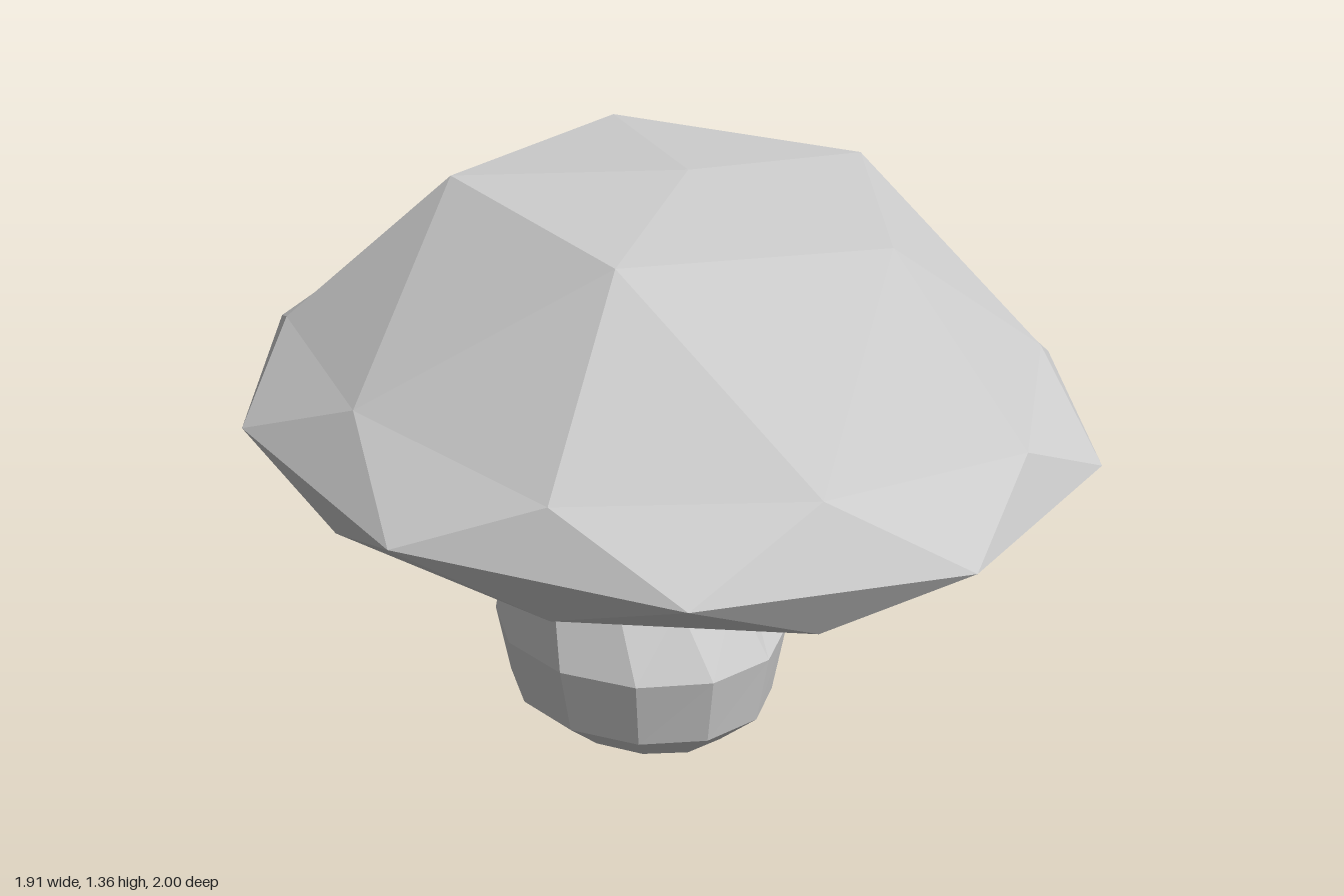
import * as THREE from 'three';

const material = new THREE.MeshStandardMaterial({ color: 0xcccccc, flatShading: true, side: THREE.DoubleSide });

// Latitudes of a once-divided icosphere standing on one vertex
const LEVELS = [1, 0.851, 0.526, 0.447, 0, -0.447, -0.526, -0.851, -1];

// Faceted cap: icosphere whose rows are moved to the given heights, hollow underneath
function makeCap(name, radius, heights, position, tilt) {
  const geo = new THREE.IcosahedronGeometry(1, 1);
  geo.rotateZ(Math.atan(2 / (1 + Math.sqrt(5))));
  geo.rotateY(Math.PI);
  const p = geo.attributes.position;
  for (let i = 0; i < p.count; i++) {
    const y = p.getY(i);
    const row = LEVELS.findIndex((l) => Math.abs(l - y) < 0.03);
    p.setXYZ(i, p.getX(i) * radius, heights[row], p.getZ(i) * radius);
  }
  geo.computeVertexNormals();
  const cap = new THREE.Mesh(geo, material);
  cap.name = name;
  cap.position.set(...position);
  cap.rotation.z = tilt;
  return cap;
}

// Stem skinned over elliptical rings [y, centreX, radiusX, centreZ, radiusZ, dent]
function makeStem(name, rings, sides) {
  const pos = [];
  const index = [];
  rings.forEach(([y, cx, rx, cz, rz, dent = 0], i) => {
    for (let j = 0; j < sides; j++) {
      const a = (j / sides) * Math.PI * 2;
      // the dent hollows the two diagonals of the +x side
      const k = 1 - dent * Math.max(0, Math.cos(a)) * Math.abs(Math.sin(a)) * 2;
      pos.push(cx + Math.cos(a) * rx * k, y, cz + Math.sin(a) * rz * k);
      if (i < rings.length - 1) {
        const n = (j + 1) % sides;
        const a0 = i * sides + j, b0 = i * sides + n;
        index.push(a0, a0 + sides, b0, b0, a0 + sides, b0 + sides);
      }
    }
  });
  const geo = new THREE.BufferGeometry();
  geo.setAttribute('position', new THREE.Float32BufferAttribute(pos, 3));
  geo.setIndex(index);
  geo.computeVertexNormals();
  const stem = new THREE.Mesh(geo, material);
  stem.name = name;
  return stem;
}

export function createModel() {
  const model = new THREE.Group();
  model.name = 'mushrooms';

  // Large mushroom
  const large = new THREE.Group();
  large.name = 'largeMushroom';
  large.add(
    makeCap('largeCap', 1, [0.535, 0.493, 0.15, 0.134, 0, -0.13, -0.15, 0.02, 0.04], [0.015, 0.825, 0], -0.077),
    makeStem('largeStem', [
      [0.0, 0.04, 0, 0.175, 0],
      [0.04, 0.04, 0.23, 0.175, 0.18],
      [0.13, 0.04, 0.33, 0.175, 0.28],
      [0.3, 0.04, 0.36, 0.175, 0.315],
      [0.45, 0.01, 0.295, 0.175, 0.29, 0.1],
      [0.55, 0.01, 0.262, 0.175, 0.272, 0.18],
      [0.65, 0.035, 0.212, 0.175, 0.25, 0.05],
      [0.72, 0.065, 0.19, 0.175, 0.23],
      [0.88, 0.1, 0.17, 0.175, 0.2],
    ], 12),
  );

  // Small mushroom behind and to one side
  const small = new THREE.Group();
  small.name = 'smallMushroom';
  small.add(
    makeCap('smallCap', 0.323, [0.18, 0.162, 0.11, 0.098, 0, -0.09, -0.1, -0.01, 0.01], [-0.645, 0.425, -0.28], 0.077),
    makeStem('smallStem', [
      [0.045, -0.59, 0, -0.23, 0],
      [0.065, -0.605, 0.095, -0.23, 0.08],
      [0.12, -0.61, 0.132, -0.23, 0.125],
      [0.2, -0.605, 0.125, -0.23, 0.125],
      [0.29, -0.61, 0.09, -0.235, 0.095],
      [0.36, -0.61, 0.1, -0.25, 0.09],
      [0.43, -0.62, 0.1, -0.26, 0.09],
    ], 10),
  );

  model.add(large, small);
  return model;
}
